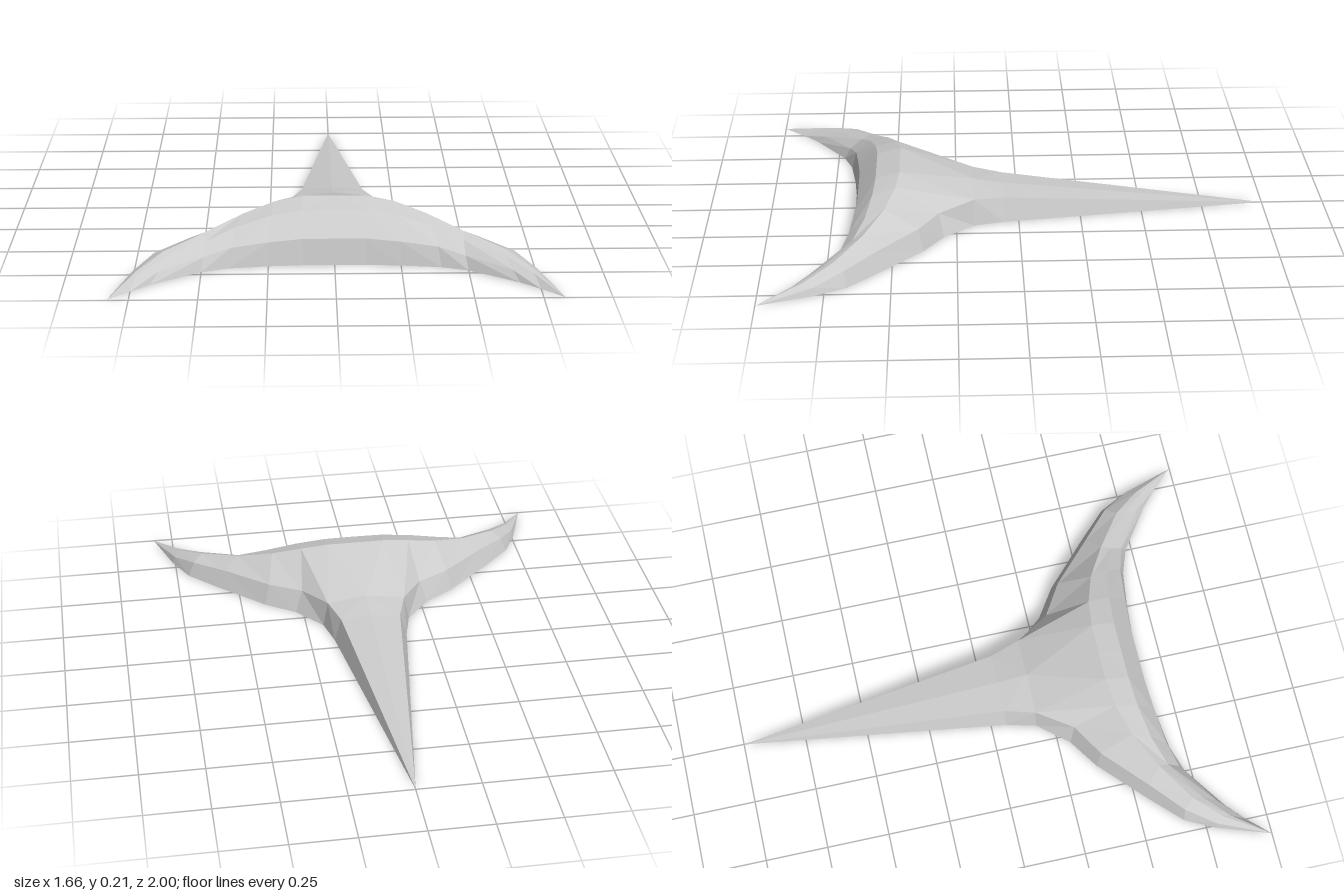
import * as THREE from 'three';

// Half-body cross-sections from the centre line out to the horn tip.
// Each runs: rear foot, rear shoulder, crest, brow, front lip, front foot.
const bodySections = [
  [[0, 0, .18], [0, .125, .18], [0, .213, .475], [0, .188, .57], [0, .10, .645], [0, 0, .66]],
  [[.18, 0, .18], [.16, .105, .18], [.12, .213, .475], [.12, .187, .57], [.12, .10, .645], [.12, 0, .66]],
  [[.28, 0, .30], [.25, .09, .32], [.23, .195, .49], [.24, .17, .58], [.25, .09, .655], [.25, 0, .67]],
  [[.40, 0, .38], [.38, .085, .40], [.35, .16, .53], [.37, .135, .605], [.39, .075, .67], [.40, 0, .69]],
  [[.58, 0, .55], [.55, .075, .56], [.49, .115, .61], [.485, .095, .65], [.49, .05, .70], [.50, 0, .725]],
  [[.70, 0, .67], [.675, .06, .675], [.64, .08, .715], [.64, .065, .755], [.655, .035, .81], [.68, 0, .85]],
  [[.76, 0, .79], [.75, .03, .79], [.73, .045, .82], [.73, .036, .85], [.74, .02, .88], [.75, 0, .915]],
  Array(6).fill([.83, 0, 1]),
];

// Half-tail cross-sections: floor centre, spine, upper edge, foot.
const tailSections = [
  [[0, 0, .18], [0, .125, .18], [.16, .105, .18], [.18, 0, .18]],
  [[0, 0, .06], [0, .105, .06], [.122, .095, .06], [.15, 0, .06]],
  Array(4).fill([0, 0, -1]),
];

// Skins closed sections and their mirror image; `hidden` skips inner faces.
function mirroredLoft(name, sections, hidden, material) {
  const positions = [];
  const add = (...points) => {
    for (const p of points) positions.push(...p);
    for (const p of points.reverse()) positions.push(-p[0], p[1], p[2]);
  };
  for (let i = 0; i < sections.length - 1; i++) {
    const near = sections[i], far = sections[i + 1], n = near.length;
    for (let j = 0; j < n; j++) {
      if (hidden(i, j)) continue;
      const k = (j + 1) % n;
      add(near[j], near[k], far[k]);
      if (i < sections.length - 2) add(near[j], far[k], far[j]);
    }
  }
  const geometry = new THREE.BufferGeometry();
  geometry.setAttribute('position', new THREE.Float32BufferAttribute(positions, 3));
  geometry.computeVertexNormals();
  const mesh = new THREE.Mesh(geometry, material);
  mesh.name = name;
  return mesh;
}

export function createModel() {
  const group = new THREE.Group();
  group.name = 'crescentWithTail';
  const material = new THREE.MeshStandardMaterial({ color: 0xcccccc, flatShading: true });
  // The body is open where it meets the tail; the tail has no centre wall.
  group.add(mirroredLoft('crescentBody', bodySections, (i, j) => i === 0 && j === 0, material));
  group.add(mirroredLoft('tail', tailSections, (i, j) => j === 0, material));
  return group;
}
